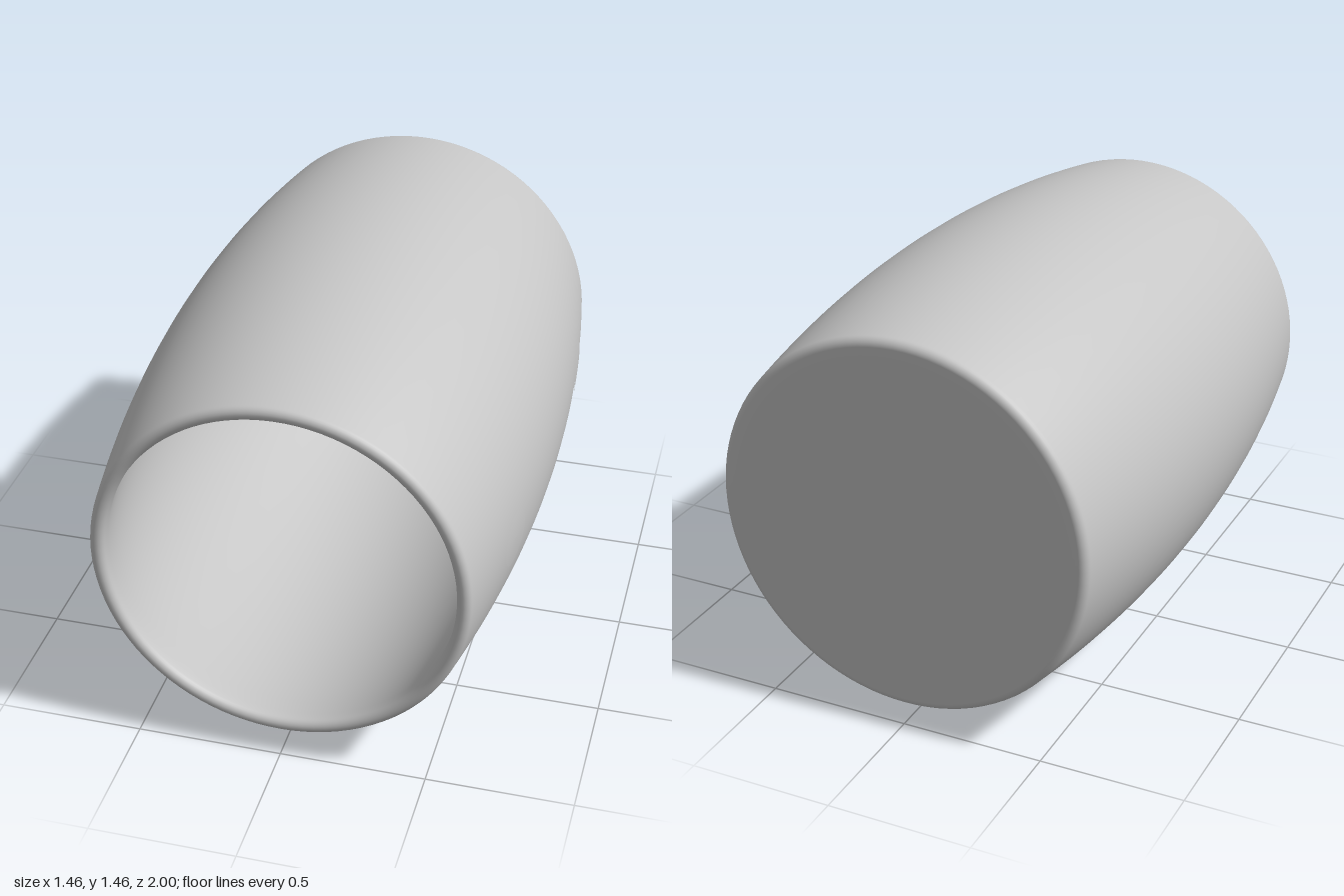
import * as THREE from 'three';

const CENTRE_Y = 0.73;
const outerRadius = (z) => 0.73 - 0.088 * (z + 0.07) ** 2;
const innerRadius = (z) => outerRadius(z) - 0.055;

// Quarter-round points about (r, z), angles in radians
function arc(r, z, size, from, to, steps = 6) {
  return Array.from({ length: steps + 1 }, (_, i) => {
    const a = from + ((to - from) * i) / steps;
    return new THREE.Vector2(r + size * Math.cos(a), z + size * Math.sin(a));
  });
}

// Points along a wall between two depths
function wall(radiusAt, from, to, steps = 28) {
  return Array.from({ length: steps + 1 }, (_, i) => {
    const z = from + ((to - from) * i) / steps;
    return new THREE.Vector2(radiusAt(z), z);
  });
}

// Round patch laid onto the curved wall on the +x side
function wallPatch(z0, radius) {
  const geometry = new THREE.RingGeometry(0.001, radius, 40, 5);
  const p = geometry.attributes.position;
  for (let i = 0; i < p.count; i++) {
    const y = p.getY(i);
    const z = z0 - p.getX(i);
    const r = outerRadius(z) + 0.003;
    p.setXYZ(i, Math.sqrt(r * r - y * y), y, z);
  }
  geometry.computeVertexNormals();
  return geometry;
}

export function createModel() {
  const model = new THREE.Group();
  model.name = 'barrelCup';
  const grey = new THREE.MeshStandardMaterial({ color: 0xc6c6c6 });
  grey.name = 'light grey';

  const body = new THREE.Group();
  body.name = 'cupBody';
  body.position.y = CENTRE_Y;
  model.add(body);

  const add = (name, geometry) => {
    const mesh = new THREE.Mesh(geometry, grey);
    mesh.name = name;
    body.add(mesh);
  };

  // Closed back, bulging wall, rounded rim and hollow inside in one turned profile
  const profile = [
    new THREE.Vector2(0, -1),
    new THREE.Vector2(0.6, -1),
    ...arc(outerRadius(-0.97) - 0.03, -0.97, 0.03, -Math.PI / 2, 0),
    ...wall(outerRadius, -0.95, 0.96),
    ...arc(outerRadius(0.975) - 0.025, 0.975, 0.025, 0.1, Math.PI, 10),
    ...wall(innerRadius, 0.95, -0.86),
    ...arc(innerRadius(-0.87) - 0.03, -0.87, 0.03, 0, -Math.PI / 2),
    new THREE.Vector2(0.55, -0.9),
    new THREE.Vector2(0, -0.9),
  ];
  add('cupShell', new THREE.LatheGeometry(profile, 96).rotateX(Math.PI / 2));

  // Two flush pads where a handle would join
  add('frontHandlePad', wallPatch(0.58, 0.1));
  add('backHandlePad', wallPatch(-0.535, 0.1));

  return model;
}
